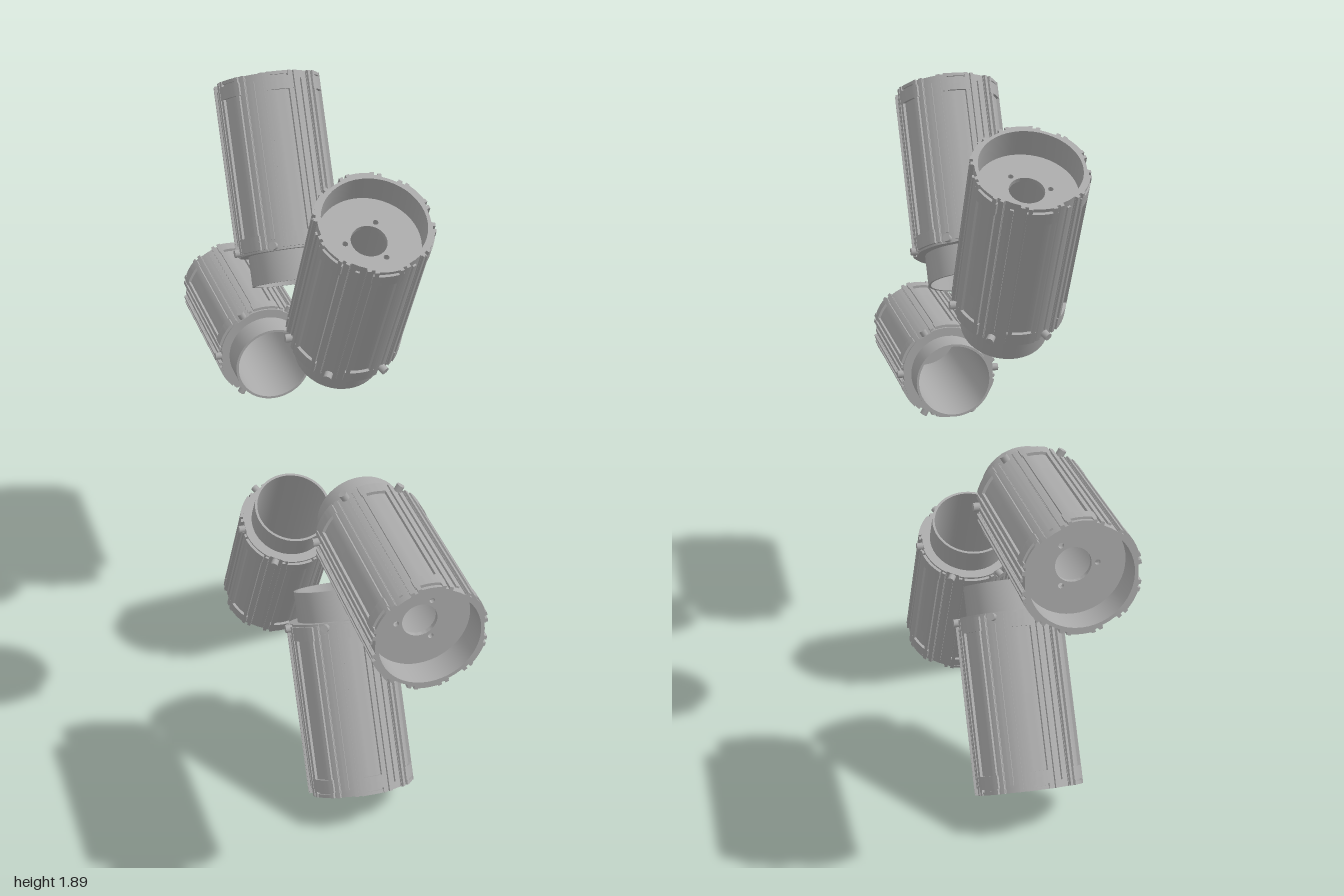
import * as THREE from 'three';
import { toCreasedNormals } from 'three/addons/utils/BufferGeometryUtils.js';

const RAD = Math.PI / 180;
const INNER = 0.515, OUTER = 0.997; // ends of the body along its axis

// curved bar around the z axis: radii, angles in degrees, start and end along z
function sector(r0, r1, a0, a1, z0, z1) {
  const s = new THREE.Shape();
  s.absarc(0, 0, r1, a0 * RAD, a1 * RAD, false);
  s.absarc(0, 0, r0, a1 * RAD, a0 * RAD, true);
  const g = new THREE.ExtrudeGeometry(s, { depth: z1 - z0, bevelEnabled: false, curveSegments: 6 });
  g.translate(0, 0, z0);
  return toCreasedNormals(g, 0.5);
}

// body and narrower neck, hollow right through
function shellGeometry() {
  const profile = [
    [0.108, 0.43], [0.115, 0.43], [0.115, INNER], [0.138, INNER], [0.138, OUTER],
    [0.129, OUTER], [0.129, 0.908], [0.108, 0.908], [0.108, 0.43],
  ].map(([r, y]) => new THREE.Vector2(r, y));
  const g = new THREE.LatheGeometry(profile, 48);
  g.rotateX(Math.PI / 2);
  return toCreasedNormals(g, 0.5);
}

// recessed disc with a centre hole and three bolt holes
function floorGeometry() {
  const s = new THREE.Shape().absarc(0, 0, 0.13, 0, Math.PI * 2, false);
  const hole = (x, y, r) => s.holes.push(new THREE.Path().absarc(x, y, r, 0, Math.PI * 2, true));
  hole(0, 0, 0.045);
  for (const a of [60, 180, 300]) hole(0.06 * Math.cos(a * RAD), 0.06 * Math.sin(a * RAD), 0.007);
  const g = new THREE.ExtrudeGeometry(s, { depth: 0.012, bevelEnabled: false, curveSegments: 24 });
  g.translate(0, 0, 0.908);
  return toCreasedNormals(g, 0.5);
}

export function createModel() {
  const grey = new THREE.MeshStandardMaterial({ color: 0xaaaaaa });
  grey.name = 'plainGrey';

  const add = (parent, name, geometry) => {
    const m = new THREE.Mesh(geometry, grey);
    m.name = name;
    parent.add(m);
    return m;
  };

  const canister = new THREE.Group();
  add(canister, 'shell', shellGeometry());
  add(canister, 'recessedFloor', floorGeometry());

  // one raised panel centred on angle 0, framed by ribs and end bands
  const panelParts = [
    ['panel', sector(0.13, 0.141, -22, 22, INNER, OUTER)],
    ['neckEndBand', sector(0.13, 0.149, -15, 15, INNER + 0.006, INNER + 0.045)],
    ['rimBand', sector(0.13, 0.149, -15, 15, OUTER - 0.05, OUTER - 0.015)],
    ['rimLip', sector(0.13, 0.146, -13, 13, OUTER - 0.009, OUTER)],
  ];
  for (const side of [-1, 1]) {
    for (const [mid, r] of [[12, 0.149], [19.5, 0.147]]) {
      panelParts.push(['rib', sector(0.13, r, side * mid - 2, side * mid + 2, INNER + 0.006, OUTER)]);
    }
  }

  // knob and thin spine in the gap between panels
  const knob = new THREE.CylinderGeometry(0.011, 0.011, 0.03, 10);
  knob.rotateZ(Math.PI / 2);
  knob.translate(0.141, 0, INNER + 0.012);
  const spine = sector(0.13, 0.143, -2, 2, INNER + 0.03, OUTER - 0.02);

  for (let i = 0; i < 6; i++) {
    const panel = new THREE.Group();
    panel.name = 'framedPanel';
    panel.rotation.z = (30 + i * 60) * RAD;
    for (const [name, g] of panelParts) add(panel, name, g);
    canister.add(panel);

    const gap = new THREE.Group();
    gap.name = 'panelGap';
    gap.rotation.z = i * 60 * RAD;
    add(gap, 'knob', knob);
    add(gap, 'spine', spine);
    canister.add(gap);
  }

  // six canisters in a ring, rims outward
  const model = new THREE.Group();
  model.name = 'canisterRing';
  for (let i = 0; i < 6; i++) {
    const c = canister.clone();
    c.name = 'canister';
    c.position.y = 0.945;
    c.rotation.x = -(i * 60 - 1.3) * RAD;
    model.add(c);
  }
  return model;
}
